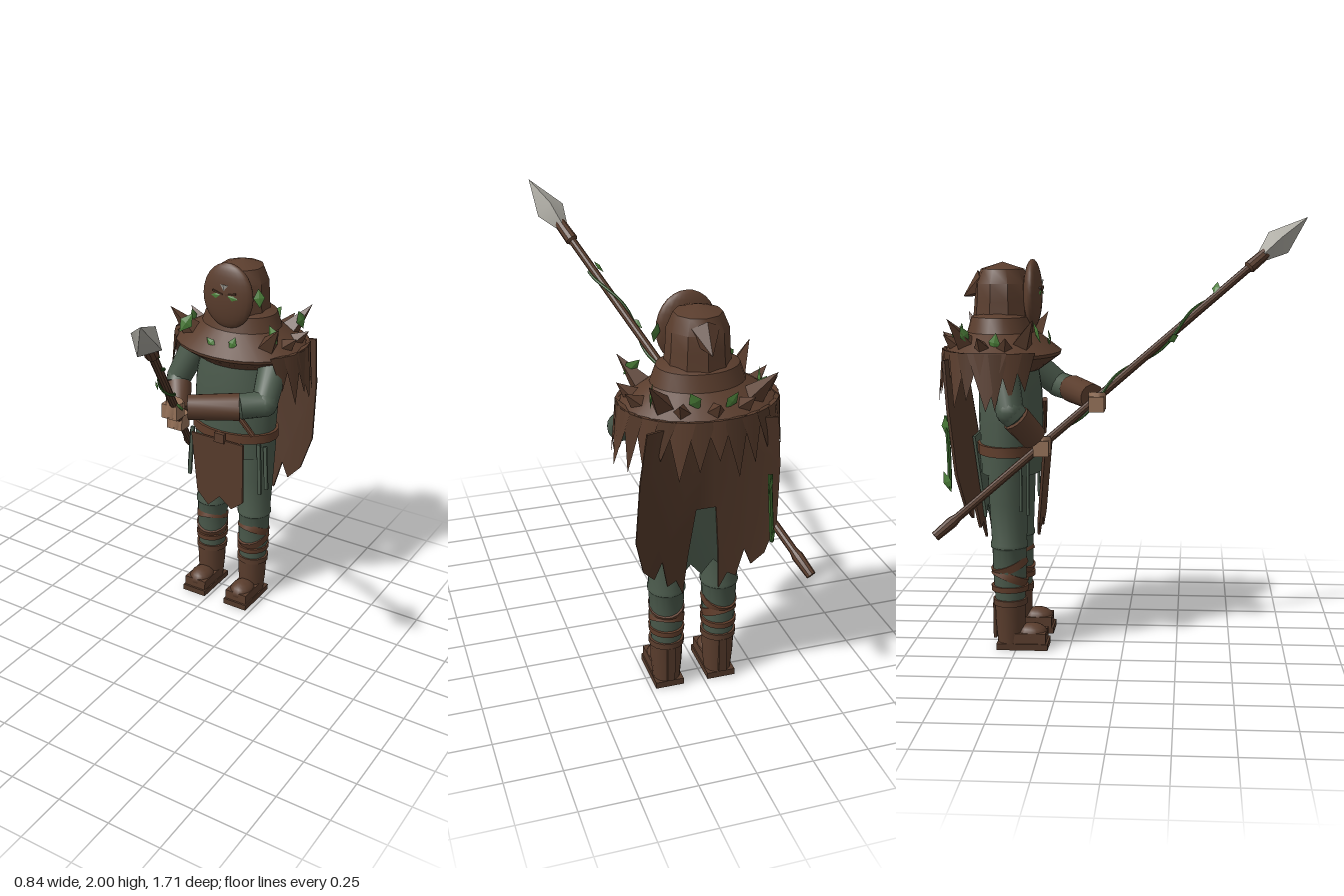
import * as THREE from 'three';
import { toCreasedNormals } from 'three/addons/utils/BufferGeometryUtils.js';

const mat = (name, color) => { const m = new THREE.MeshStandardMaterial({ color }); m.name = name; return m; };
const V = (x, y, z) => new THREE.Vector3(x, y, z);
const UP = V(0, 1, 0);

export function createModel() {
  const leather = mat('leather', 0x5a3d2d), bark = mat('dark bark cloth', 0x523829), strap = mat('strap', 0x5f3d2b);
  const cloth = mat('green cloth', 0x4a594b), skin = mat('skin', 0x967259), steel = mat('steel', 0xaaa8a0);
  const leafMat = mat('leaf', 0x4a7d38), vineMat = mat('vine', 0x37622a);
  const root = new THREE.Group();
  const CX = 0.04, CZ = -0.56;

  function add(name, geo, m, parent = root) {
    const mesh = new THREE.Mesh(toCreasedNormals(geo, 0.6), m);
    mesh.name = name;
    parent.add(mesh);
    return mesh;
  }
  const box = (name, w, h, d, x, y, z, m, parent) => {
    const b = add(name, new THREE.BoxGeometry(w, h, d), m, parent);
    b.position.set(x, y, z);
    return b;
  };
  // tapered rod between two points
  function limb(name, a, b, r1, r2, m, sides = 14) {
    const d = b.clone().sub(a);
    const mesh = add(name, new THREE.CylinderGeometry(r2, r1, d.length(), sides), m);
    mesh.position.copy(a).lerp(b, 0.5);
    mesh.quaternion.setFromUnitVectors(UP, d.normalize());
    return mesh;
  }
  function ball(name, p, r, m) {
    const b = add(name, new THREE.SphereGeometry(r, 14, 10), m);
    b.position.copy(p);
    return b;
  }
  // turned body with an oval plan
  function lathe(name, pts, m, x, z, depth, sides = 24) {
    const l = add(name, new THREE.LatheGeometry(pts.map(p => new THREE.Vector2(...p)), sides), m);
    l.position.set(x, 0, z);
    l.scale.z = depth;
    return l;
  }
  // thin diamond leaf, turned about y and rolled
  function leaf(p, size, turn, roll, parent = root) {
    const l = add('leaf', new THREE.OctahedronGeometry(size), leafMat, parent);
    l.scale.set(0.6, 1, 0.15);
    l.position.copy(p);
    l.rotation.set(-0.2, turn, roll);
  }
  const tube = (name, pts, r, m, parent) =>
    add(name, new THREE.TubeGeometry(new THREE.CatmullRomCurve3(pts), pts.length * 4, r, 6), m, parent);

  // legs and boots
  for (const s of [-1, 1]) {
    const x = CX + s * 0.122, z = -0.53;
    lathe('leg', [[0.066, 0.2], [0.076, 0.36], [0.078, 0.48], [0.085, 0.49], [0.085, 0.505], [0.08, 0.52],
      [0.088, 0.7], [0.097, 0.95], [0, 0.96]], cloth, x, z, 1.03, 16);
    lathe('bootShaft', [[0.062, 0.03], [0.07, 0.12], [0.073, 0.21], [0.08, 0.212], [0.08, 0.24], [0, 0.24]], leather, x, z, 1.0, 14);
    box('sole', 0.13, 0.03, 0.24, x, 0.016, -0.47, bark);
    box('foot', 0.118, 0.05, 0.15, x, 0.055, -0.435, leather);
    const toe = ball('toe', V(x, 0.068, -0.43), 0.06, leather);
    toe.scale.set(1, 0.8, 1.25);
    box('heelStrap', 0.035, 0.17, 0.015, x, 0.13, -0.602, bark);
    // leg wraps: a level band below two crossing ones
    [[0.292, 0, 0.025], [0.345, 0.38, 0.036], [0.4, -0.38, 0.036]].forEach(([y, tilt, h]) => {
      const w = add('legWrap', new THREE.CylinderGeometry(0.08, 0.079, h, 16, 1), strap);
      w.position.set(x, y, z);
      w.rotation.set(tilt, 0, tilt * s * 0.4);
      w.scale.z = 1.1;
    });
    // hanging strips at the hips
    for (const k of [0, 1]) {
      const strip = box('hipStrip', 0.018, 0.27 - k * 0.04, 0.012, CX + s * (0.195 + k * 0.02), 0.79, -0.43 - k * 0.03, cloth);
      strip.rotation.z = s * 0.06;
    }
  }

  // torso, tunic skirt and belt
  lathe('torso', [[0, 0.83], [0.212, 0.83], [0.212, 0.95], [0.218, 1.08], [0.213, 1.2], [0.19, 1.32], [0, 1.42]], cloth, CX, -0.53, 0.68);
  lathe('belt', [[0.2, 0.92], [0.227, 0.922], [0.227, 0.968], [0.2, 0.97]], strap, CX, -0.53, 0.69);
  box('buckle', 0.055, 0.05, 0.02, 0.05, 0.945, -0.358, leather);
  limb('chestStrap', V(0.06, 1.16, -0.375), V(0.21, 0.98, -0.4), 0.014, 0.014, strap, 8);

  // flat cloth with a jagged outline, bent by a rule for z
  function cutCloth(name, pts, m, zRule) {
    const g = new THREE.ExtrudeGeometry(new THREE.Shape(pts.map(p => new THREE.Vector2(...p))), { depth: 0.012, bevelEnabled: false });
    const p = g.attributes.position;
    for (let i = 0; i < p.count; i++) p.setZ(i, p.getZ(i) + zRule(p.getX(i), p.getY(i)));
    const c = add(name, g, m);
    c.position.x = CX;
    return c;
  }
  cutCloth('frontTabard', [[-0.15, 0.935], [-0.13, 0.6], [-0.07, 0.53], [0, 0.6], [0.065, 0.545], [0.13, 0.6], [0.14, 0.935]],
    leather, (x, y) => -0.366 - (0.95 - y) * 0.09);
  // cape with a slit up the middle, its outer panels swept back
  const capeZ = (x, y) => -0.75 + 0.1 * (1.36 - y) / 0.8 - 0.65 * x * x;
  const half = [[0.045, 0.95], [0.07, 0.72], [0.085, 0.52], [0.12, 0.6], [0.16, 0.58], [0.19, 0.72], [0.225, 0.64],
    [0.28, 0.7], [0.32, 0.86], [0.31, 1.15], [0.285, 1.37], [0.13, 1.37]];
  const mirrored = half.map(([x, y]) => [-x * 0.93, y]).reverse();
  cutCloth('cape', [...half, [0, 1.37], ...mirrored], bark, capeZ);
  // green lining seen through the slit
  cutCloth('capeLining', [[0.1, 1.0], [-0.1, 1.0], [-0.1, 0.62], [-0.05, 0.67], [0, 0.6], [0.05, 0.66], [0.1, 0.6]],
    cloth, (x, y) => capeZ(x, y) + 0.014);

  // mantle with collar
  lathe('mantle', [[0, 1.31], [0.215, 1.305], [0.335, 1.375], [0.34, 1.39], [0.2, 1.48], [0.175, 1.55], [0.11, 1.575], [0, 1.575]],
    leather, CX, -0.565, 0.8, 28);
  // spike or hanging tatter, placed by angle from the front
  function cone(name, a, rx, y, r, h, dir, thin, m) {
    const g = new THREE.ConeGeometry(r, h, 4);
    g.translate(0, h / 2, 0);
    g.scale(1, 1, thin);
    const pivot = new THREE.Group();
    pivot.position.set(CX + Math.sin(a) * rx, y, -0.565 + Math.cos(a) * rx * 0.8);
    pivot.rotation.y = a;
    add(name, g, m, pivot).rotation.x = dir;
    pivot.name = name;
    root.add(pivot);
  }
  // four tall corner spikes, with shorter ones lying lower between them
  for (const a of [0.95, 2.3, -2.3, -0.95]) cone('tallSpike', a, 0.25, 1.43, 0.052, 0.165, 0.72, 1, leather);
  for (const a of [1.35, 1.8, 2.65, Math.PI, -2.65, -1.8, -1.35]) cone('mantleSpike', a, 0.27, 1.42, 0.04, 0.085, 0.85, 1, leather);
  for (let i = 0; i < 19; i++) {
    const a = 1.05 + i * (Math.PI * 2 - 2.1) / 18;
    cone('tatter', a, 0.33, 1.405, 0.06, 0.17 + 0.04 * ((i * 2) % 3), Math.PI - 0.13, 0.2, i % 2 ? leather : bark);
  }
  // broad shoulder flaps
  for (const s of [-1, 1]) cone('shoulderFlap', s * 1.65, 0.325, 1.41, 0.09, 0.26, Math.PI - 0.16, 0.15, leather);

  // hood with rear point, and oval mask
  lathe('hood', [[0.14, 1.54], [0.132, 1.62], [0.128, 1.7], [0.1, 1.765], [0, 1.797]], leather, CX, CZ, 1, 10);
  limb('hoodPoint', V(CX, 1.7, -0.64), V(CX, 1.64, -0.74), 0.068, 0.003, leather, 6);
  const mask = add('mask', new THREE.SphereGeometry(1, 22, 14), leather);
  mask.position.set(0.043, 1.652, -0.422);
  mask.scale.set(0.132, 0.158, 0.042);
  const mark = add('maskMark', new THREE.ConeGeometry(0.024, 0.028, 3), steel);
  mark.position.set(0.043, 1.702, -0.378);
  mark.rotation.z = Math.PI;
  mark.scale.z = 0.25;
  for (const s of [-1, 1]) {
    const slit = box('maskSlit', 0.055, 0.008, 0.008, 0.043 + s * 0.035, 1.675, -0.381, bark);
    slit.rotation.z = s * 0.25;
    leaf(V(0.043 + s * 0.045, 1.66, -0.383), 0.026, s * 0.15, s * 1.4);
  }

  // arms: shoulder, elbow, cuff start, wrist, hand
  const arms = [
    ['left', V(0.25, 1.36, -0.52), V(0.3, 1.2, -0.335), V(0.21, 1.19, -0.26), V(0.0, 1.18, -0.145), V(-0.067, 1.165, -0.12)],
    ['right', V(-0.18, 1.36, -0.54), V(-0.265, 1.15, -0.49), V(-0.258, 1.12, -0.465), V(-0.205, 1.02, -0.39), V(-0.19, 0.98, -0.36)],
  ];
  for (const [side, sh, el, cf, wr, hand] of arms) {
    limb(side + 'UpperArm', sh, el, 0.074, 0.062, cloth);
    ball(side + 'Elbow', el, 0.063, cloth);
    limb(side + 'Forearm', el, cf, 0.062, 0.06, cloth);
    limb(side + 'Cuff', cf, wr, 0.066, 0.06, leather);
    box(side + 'Hand', 0.085, 0.07, 0.07, hand.x, hand.y - 0.005, hand.z, skin);
    limb(side + 'Knuckles', V(hand.x, hand.y - 0.03, hand.z), V(hand.x + 0.01, hand.y + 0.045, hand.z), 0.042, 0.04, skin);
  }

  // spear, built upright and then laid along its line
  const butt = V(-0.4, 0.61, -0.81), tip = V(0.42, 2.0, 0.86);
  const len = tip.distanceTo(butt);
  const spear = new THREE.Group();
  spear.name = 'spear';
  spear.position.copy(butt);
  spear.quaternion.setFromUnitVectors(UP, tip.clone().sub(butt).normalize());
  root.add(spear);
  const turned = (name, pts, m, sides) => add(name, new THREE.LatheGeometry(pts.map(p => new THREE.Vector2(...p)), sides), m, spear);
  turned('shaft', [[0, 0], [0.022, 0], [0.026, 0.1], [0.019, 0.13], [0.019, 1.92], [0.03, 1.93], [0.027, 2.04], [0, 2.05]], leather, 10);
  turned('spearHead', [[0, len - 0.3], [0.03, len - 0.3], [0.068, len - 0.2], [0, len]], steel, 4);
  const helix = [];
  for (let i = 0; i <= 20; i++) {
    const a = i * 0.65;
    helix.push(V(Math.cos(a) * 0.022, 0.75 + i * 0.05, Math.sin(a) * 0.022));
  }
  tube('spearVine', helix, 0.007, vineMat, spear);
  [[1.0, 0], [1.41, 2.4], [1.73, 4]].forEach(([y, a]) => leaf(V(Math.cos(a) * 0.035, y, Math.sin(a) * 0.035), 0.035, a, 0.4, spear));

  // vine hanging on the cape
  tube('capeVine', [V(-0.2, 1.12, -0.79), V(-0.21, 1.0, -0.78), V(-0.22, 0.88, -0.775), V(-0.225, 0.79, -0.775)], 0.01, vineMat);
  leaf(V(-0.205, 1.07, -0.79), 0.05, 0.9, 0.2);
  leaf(V(-0.225, 0.82, -0.785), 0.05, 0.9, -0.2);

  // leaves tucked into the mantle: x, y, z, size, turn, roll
  [[-0.16, 1.49, -0.38, 0.055, 0.4, -0.5], [0.28, 1.505, -0.43, 0.05, -0.3, 0.7], [0, 1.435, -0.345, 0.035, 0, 0.9],
    [0.11, 1.45, -0.355, 0.035, 0.2, -0.3], [0.185, 1.655, -0.46, 0.045, 0.5, 0.2], [-0.23, 1.45, -0.56, 0.045, 1.4, 0.4],
    [0.28, 1.49, -0.71, 0.05, 1.2, 0.5], [-0.03, 1.46, -0.78, 0.045, 0.1, 0.6], [0.12, 1.47, -0.77, 0.045, -0.2, -0.5],
    [-0.19, 1.48, -0.7, 0.045, -0.8, 0.3]]
    .forEach(([x, y, z, size, turn, roll]) => leaf(V(x, y, z), size, turn, roll));
  return root;
}
